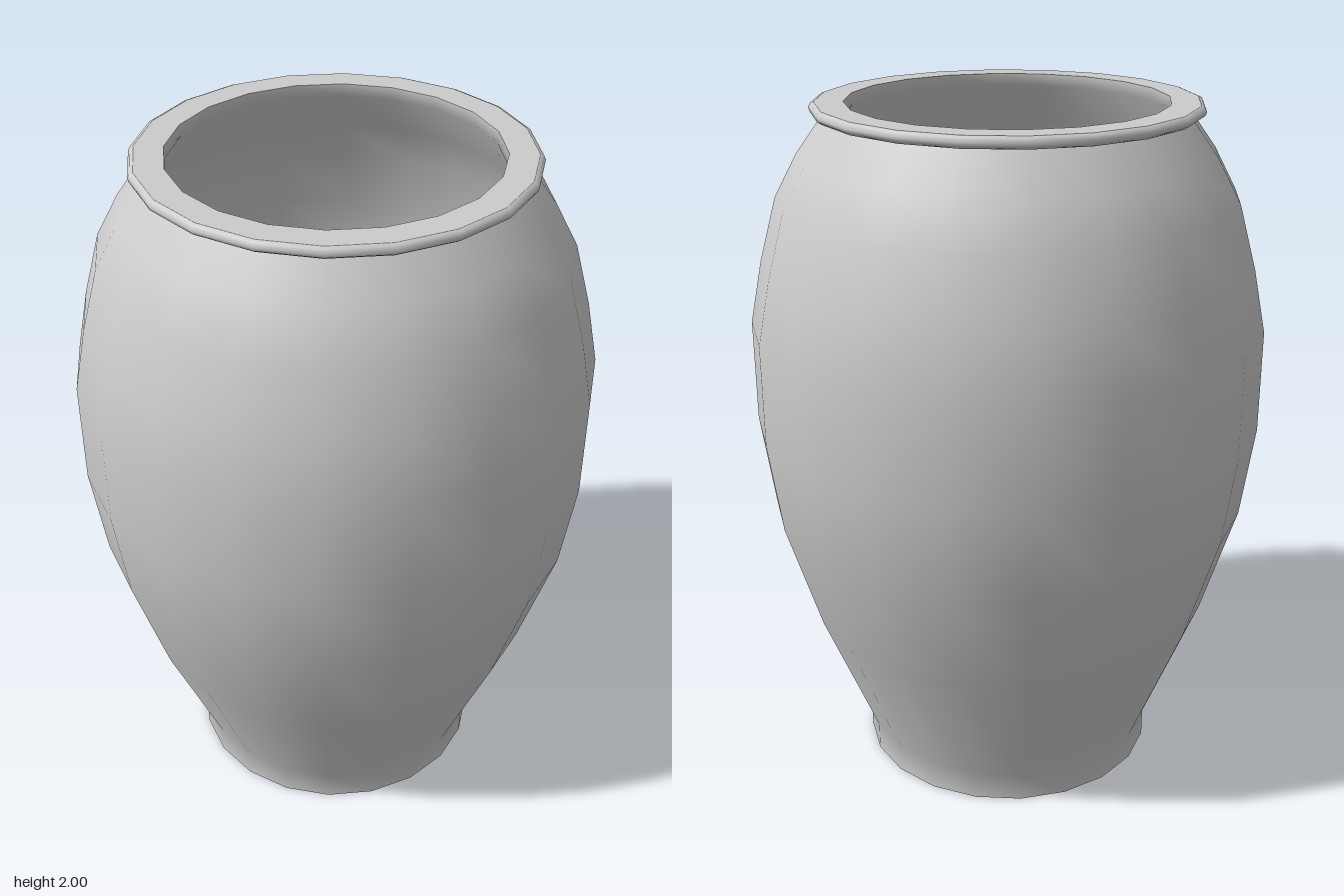
import * as THREE from 'three';

const SIDES = 20;
const material = new THREE.MeshStandardMaterial({ color: 0xcccccc });

// Revolve a list of [radius, height] pairs; profiles run from the base up the outside and down the inside.
function turned(name, profile) {
  const points = profile.map(([r, y]) => new THREE.Vector2(r, y));
  const mesh = new THREE.Mesh(new THREE.LatheGeometry(points, SIDES, -0.012), material);
  mesh.name = name;
  return mesh;
}

export function createModel() {
  const vase = new THREE.Group();
  vase.name = 'vase';

  // Flat underside
  vase.add(turned('base', [[0, 0], [0.44, 0]]));

  // Straight foot and bulging outer wall
  vase.add(turned('outerWall', [
    [0.44, 0], [0.44, 0.085], [0.6, 0.485], [0.7, 0.815], [0.737, 1.085],
    [0.737, 1.38], [0.7, 1.56], [0.65, 1.74], [0.585, 1.86], [0.505, 1.97],
  ]));

  // Thin overhanging lip with a rounded edge and flat top
  vase.add(turned('lipEdge', [
    [0.505, 1.967], [0.53, 1.967], [0.542, 1.975], [0.545, 1.985], [0.54, 1.996], [0.53, 2],
  ]));
  vase.add(turned('lipTop', [[0.53, 2], [0.45, 2]]));

  // Hollow inside, following the outer wall down to a flat floor
  vase.add(turned('innerWall', [
    [0.45, 2], [0.45, 1.965], [0.53, 1.84], [0.59, 1.72], [0.64, 1.55], [0.675, 1.37],
    [0.675, 1.09], [0.64, 0.83], [0.54, 0.5], [0.4, 0.16], [0.3, 0.085],
  ]));
  vase.add(turned('innerFloor', [[0.3, 0.085], [0, 0.085]]));

  return vase;
}
